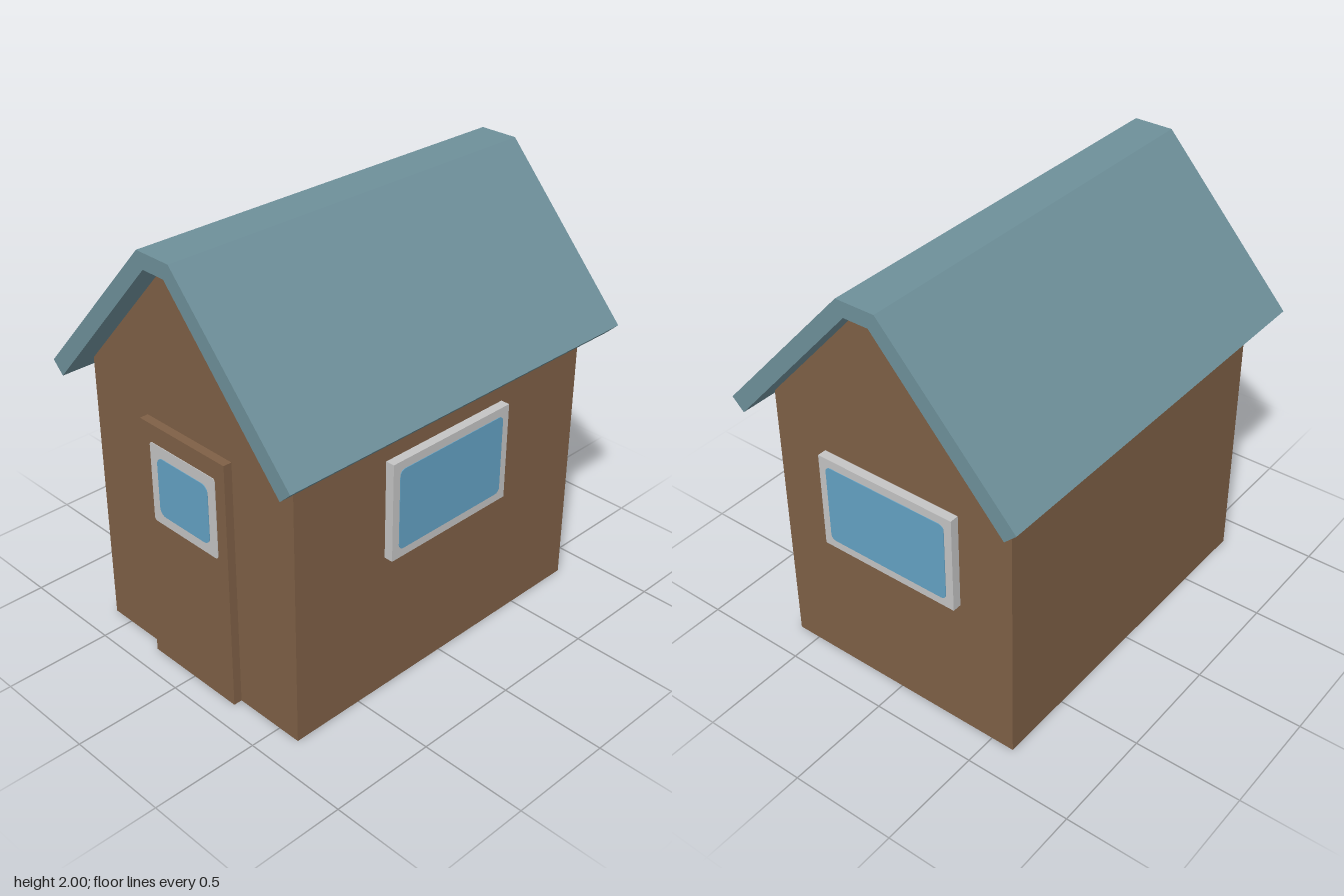
import * as THREE from 'three';

const material = (name, color, side = THREE.FrontSide) => {
  const m = new THREE.MeshStandardMaterial({ color, side });
  m.name = name;
  return m;
};

const shapeOf = (points) => new THREE.Shape(points.map(([x, y]) => new THREE.Vector2(x, y)));

// Rectangle with rounded corners, centred on the origin
function roundedRect(w, h, r) {
  const s = new THREE.Shape();
  const x = w / 2 - r, y = h / 2 - r;
  s.absarc(x, y, r, 0, Math.PI / 2);
  s.absarc(-x, y, r, Math.PI / 2, Math.PI);
  s.absarc(-x, -y, r, Math.PI, Math.PI * 1.5);
  s.absarc(x, -y, r, Math.PI * 1.5, Math.PI * 2);
  s.closePath();
  return s;
}

export function createModel() {
  const wood = material('brown wood', 0x7f6046, THREE.DoubleSide);
  const roofing = material('slate blue roof', 0x6e909a);
  const white = material('pale grey frame', 0xc4c4c4);
  const blue = material('blue glass', 0x64a2c4);

  const house = new THREE.Group();
  house.name = 'house';

  function add(parent, name, geometry, mat, x = 0, y = 0, z = 0, ry = 0) {
    const mesh = new THREE.Mesh(geometry, mat);
    mesh.name = name;
    mesh.position.set(x, y, z);
    mesh.rotation.y = ry;
    parent.add(mesh);
    return mesh;
  }

  const halfW = 0.61, eave = 1.315, front = 0.85, back = -0.845;
  const doorHalf = 0.26, doorTop = 1.185, doorZ = 0.89;
  const depth = front - back, midZ = (front + back) / 2;

  // Hollow shell, open underneath: gable walls and side walls
  const gable = [[halfW, 0], [halfW, eave], [0.06, 1.93], [-0.06, 1.93], [-halfW, eave], [-halfW, 0]];
  const doorway = [[-doorHalf, 0], [-doorHalf, doorTop], [doorHalf, doorTop], [doorHalf, 0]];
  add(house, 'frontWall', new THREE.ShapeGeometry(shapeOf([...gable, ...doorway])), wood, 0, 0, front);
  add(house, 'backWall', new THREE.ShapeGeometry(shapeOf(gable)), wood, 0, 0, back, Math.PI);
  for (const s of [1, -1]) {
    add(house, s > 0 ? 'leftWall' : 'rightWall', new THREE.PlaneGeometry(depth, eave), wood,
      s * halfW, eave / 2, midZ, s * Math.PI / 2);
  }

  // Door pushed out from the front wall
  const door = new THREE.Group();
  door.name = 'door';
  house.add(door);
  const step = doorZ - front;
  add(door, 'doorPanel', new THREE.PlaneGeometry(doorHalf * 2, doorTop), wood, 0, doorTop / 2, doorZ);
  for (const s of [1, -1]) {
    add(door, 'doorEdge', new THREE.PlaneGeometry(step, doorTop), wood,
      s * doorHalf, doorTop / 2, front + step / 2, s * Math.PI / 2);
  }
  add(door, 'doorTop', new THREE.PlaneGeometry(doorHalf * 2, step).rotateX(-Math.PI / 2), wood,
    0, doorTop, front + step / 2);

  // Painted door window
  const plate = (w, h, r, t) => new THREE.ExtrudeGeometry(roundedRect(w, h, r), { depth: t, bevelEnabled: false, curveSegments: 4 });
  add(door, 'doorWindowFrame', plate(0.405, 0.38, 0.015, 0.003), white, 0, 0.91, doorZ);
  add(door, 'doorWindowGlass', plate(0.315, 0.28, 0.035, 0.003), blue, 0, 0.907, doorZ + 0.003);

  // Protruding windows on the left and back walls
  function addWindow(name, x, z, ry) {
    const win = new THREE.Group();
    win.name = name;
    win.position.set(x, 0.9, z);
    win.rotation.y = ry;
    add(win, 'windowFrame', new THREE.BoxGeometry(0.695, 0.46, 0.042), white, 0, 0, 0.021);
    add(win, 'windowGlass', plate(0.62, 0.38, 0.025, 0.003), blue, 0, 0, 0.042);
    house.add(win);
  }
  addWindow('leftWindow', halfW, 0.007, Math.PI / 2);
  addWindow('backWindow', 0, back, Math.PI);

  // Flat-ridged roof with overhanging eaves
  const roofProfile = shapeOf([
    [0.727, 1.305], [0.093, 2], [-0.093, 2], [-0.727, 1.305],
    [-0.67, 1.25], [-0.06, 1.93], [0.06, 1.93], [0.67, 1.25],
  ]);
  add(house, 'roof', new THREE.ExtrudeGeometry(roofProfile, { depth: 1.94, bevelEnabled: false }), roofing, 0, 0, -0.97);

  return house;
}
